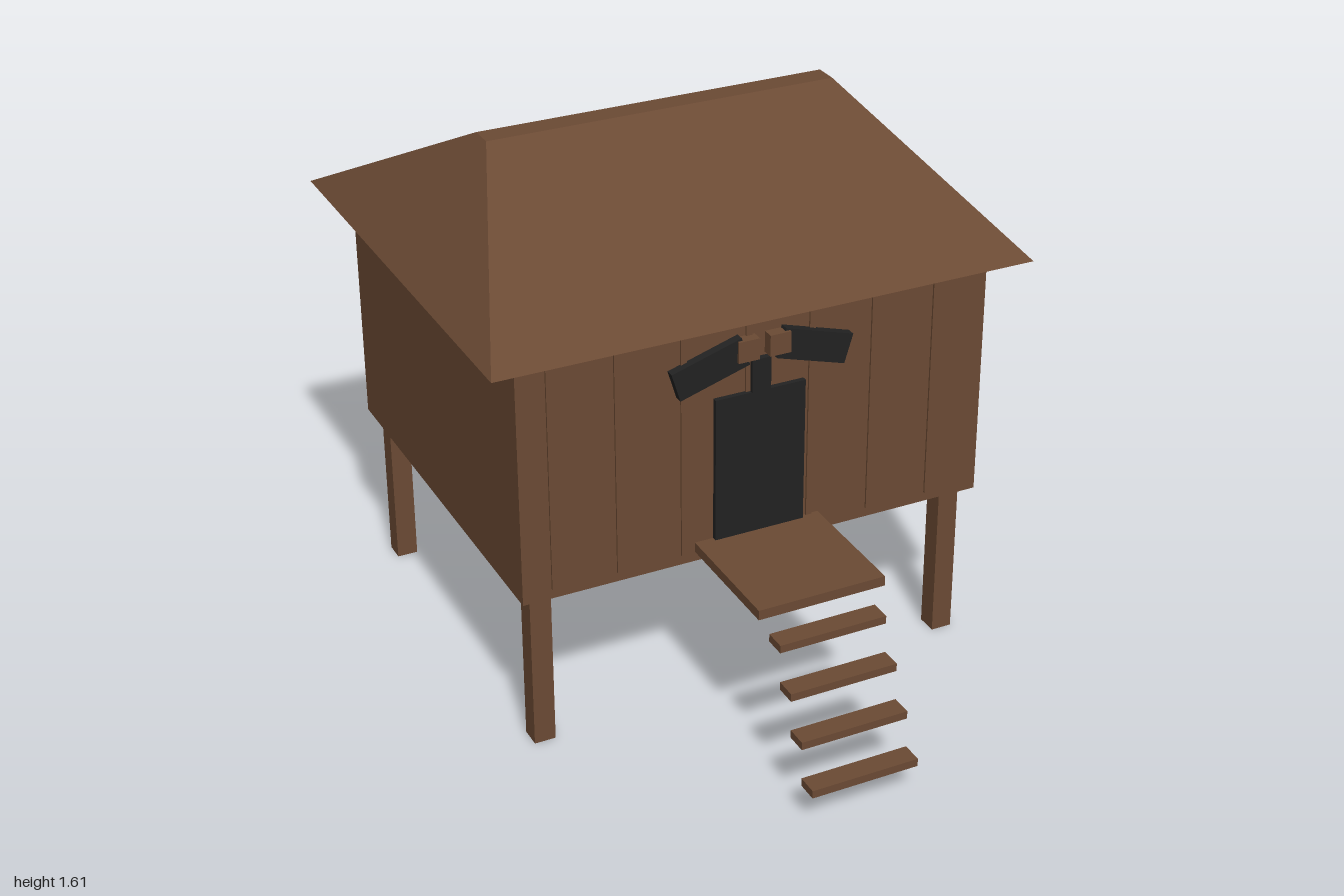
import * as THREE from 'three';

export function createModel() {
  const model = new THREE.Group();
  model.name = 'stiltHut';

  const wood = new THREE.MeshStandardMaterial({ color: 0x6b4a34 });
  wood.name = 'brown wood';
  const black = new THREE.MeshStandardMaterial({ color: 0x222222 });
  black.name = 'black paint';

  // Box given by its extents along each axis
  function box(name, material, [x0, x1], [y0, y1], [z0, z1]) {
    const mesh = new THREE.Mesh(new THREE.BoxGeometry(x1 - x0, y1 - y0, z1 - z0), material);
    mesh.position.set((x0 + x1) / 2, (y0 + y1) / 2, (z0 + z1) / 2);
    mesh.name = name;
    model.add(mesh);
    return mesh;
  }

  // Cabin
  box('cabin', wood, [-0.72, 0.72], [0.495, 1.25], [-0.9, 0.35]);

  // Hipped roof: a box whose top is drawn in to a narrow ridge
  const roofGeometry = new THREE.BoxGeometry(2, 2, 2);
  const p = roofGeometry.attributes.position;
  for (let i = 0; i < p.count; i++) {
    const top = p.getY(i) > 0;
    p.setXYZ(
      i,
      p.getX(i) * (top ? 0.54 : 0.817),
      top ? 1.608 : 1.25,
      -0.28 + p.getZ(i) * (top ? 0.037 : 0.718)
    );
  }
  roofGeometry.computeVertexNormals();
  const roof = new THREE.Mesh(roofGeometry, wood);
  roof.name = 'roof';
  model.add(roof);

  // Four stilts
  for (const x of [-0.655, 0.655]) {
    for (const z of [-0.833, 0.283]) {
      box('stilt', wood, [x - 0.032, x + 0.032], [0, 0.495], [z - 0.032, z + 0.032]);
    }
  }

  // Vertical battens on the front wall
  for (let i = 0; i < 7; i++) {
    const x = -0.625 + i * 0.1967;
    box('batten', wood, [x - 0.009, x + 0.009], [0.525, 1.25], [0.34, 0.356]);
  }

  // Porch and floating steps
  box('porch', wood, [-0.197, 0.193], [0.525, 0.555], [0.345, 0.738]);
  for (let i = 0; i < 4; i++) {
    const y = 0.111 + i * 0.1165;
    const z = 0.968 - i * 0.0655;
    box('step', wood, [-0.165, 0.162], [y - 0.012, y + 0.012], [z - 0.032, z + 0.032]);
  }

  // Door and the post above it
  box('door', black, [-0.14, 0.138], [0.555, 1.0], [0.34, 0.365]);
  box('doorPost', black, [-0.03, 0.028], [1.0, 1.1], [0.34, 0.368]);

  // Tilted boards with small wooden blocks over the door
  for (const s of [-1, 1]) {
    const x = s * 0.16;
    const board = box('tiltedBoard', black, [x - 0.11, x + 0.11], [1.06, 1.15], [0.34, 0.376]);
    board.rotation.z = -s * 0.295;
    const b = s * 0.048;
    box('boardBlock', wood, [b - 0.032, b + 0.032], [1.108, 1.172], [0.34, 0.384]);
  }

  return model;
}
